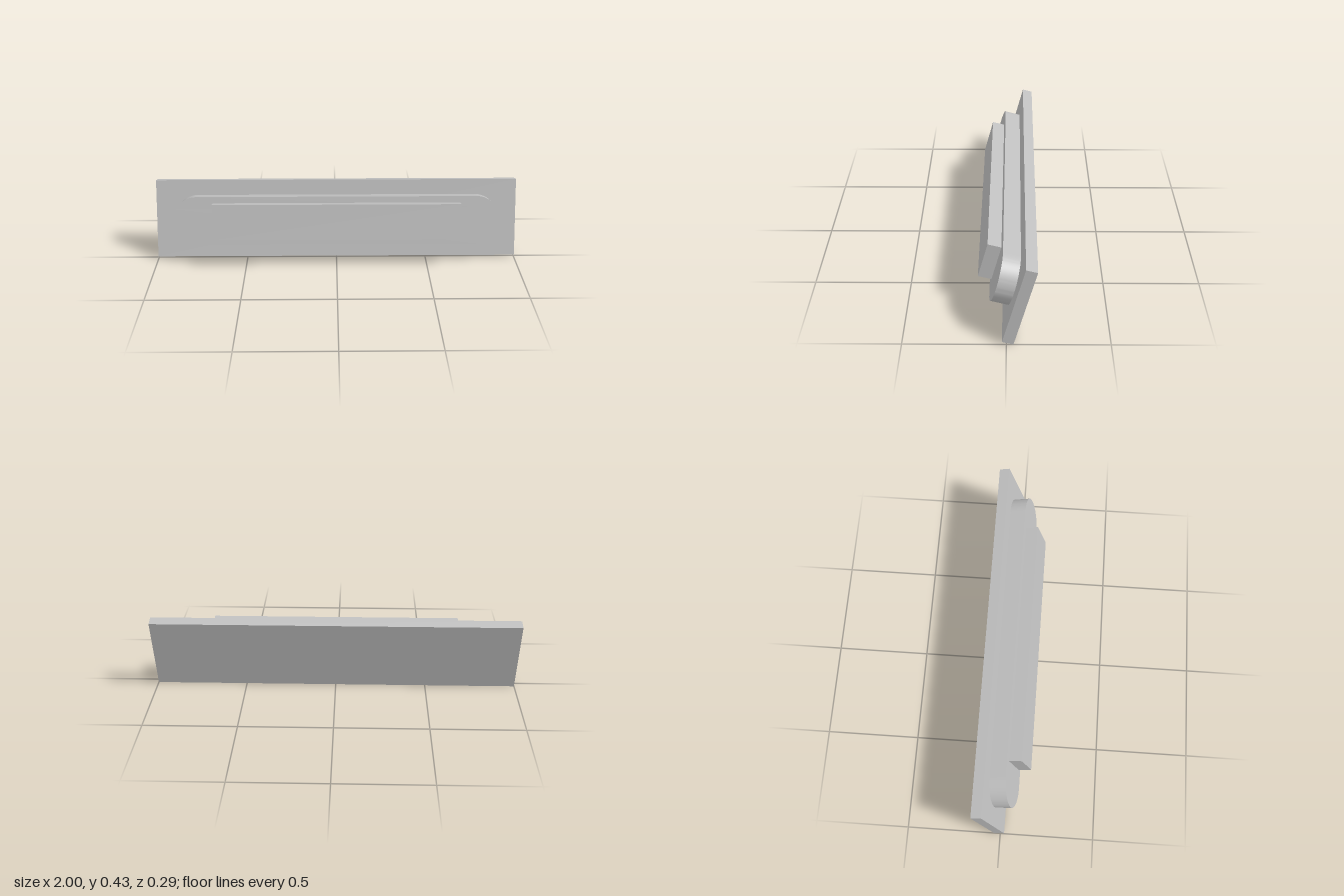
import * as THREE from 'three';
import { toCreasedNormals } from 'three/addons/utils/BufferGeometryUtils.js';

export function createModel() {
  const grey = new THREE.MeshStandardMaterial({ color: 0xc0c0c0 });
  grey.name = 'grey';

  const model = new THREE.Group();
  model.name = 'tiltedPanel';

  // Everything is stacked along local z and leans back by 15 degrees
  const stack = new THREE.Group();
  stack.name = 'leaningStack';
  stack.position.set(0, 0.215, -0.062);
  stack.rotation.x = -Math.PI / 12;
  model.add(stack);

  const add = (name, geometry, z) => {
    const mesh = new THREE.Mesh(geometry, grey);
    mesh.name = name;
    mesh.position.z = z;
    stack.add(mesh);
  };

  const plateDepth = 0.057, pillDepth = 0.089, blockDepth = 0.07;
  const plateFront = plateDepth / 2;

  // Back plate
  add('backPlate', new THREE.BoxGeometry(2, 0.43, plateDepth), 0);

  // Raised base with rounded ends
  const r = 0.132, half = 0.9 - r;
  const pill = new THREE.Shape();
  pill.moveTo(-half, -r);
  pill.lineTo(half, -r);
  pill.absarc(half, 0, r, -Math.PI / 2, Math.PI / 2, false);
  pill.lineTo(-half, r);
  pill.absarc(-half, 0, r, Math.PI / 2, Math.PI * 1.5, false);
  const pillGeometry = new THREE.ExtrudeGeometry(pill, {
    depth: pillDepth, bevelEnabled: false, curveSegments: 24,
  });
  add('roundedBase', toCreasedNormals(pillGeometry, 0.6), plateFront);

  // Front block
  add('frontBlock', new THREE.BoxGeometry(1.355, 0.195, blockDepth),
    plateFront + pillDepth + blockDepth / 2);

  return model;
}
